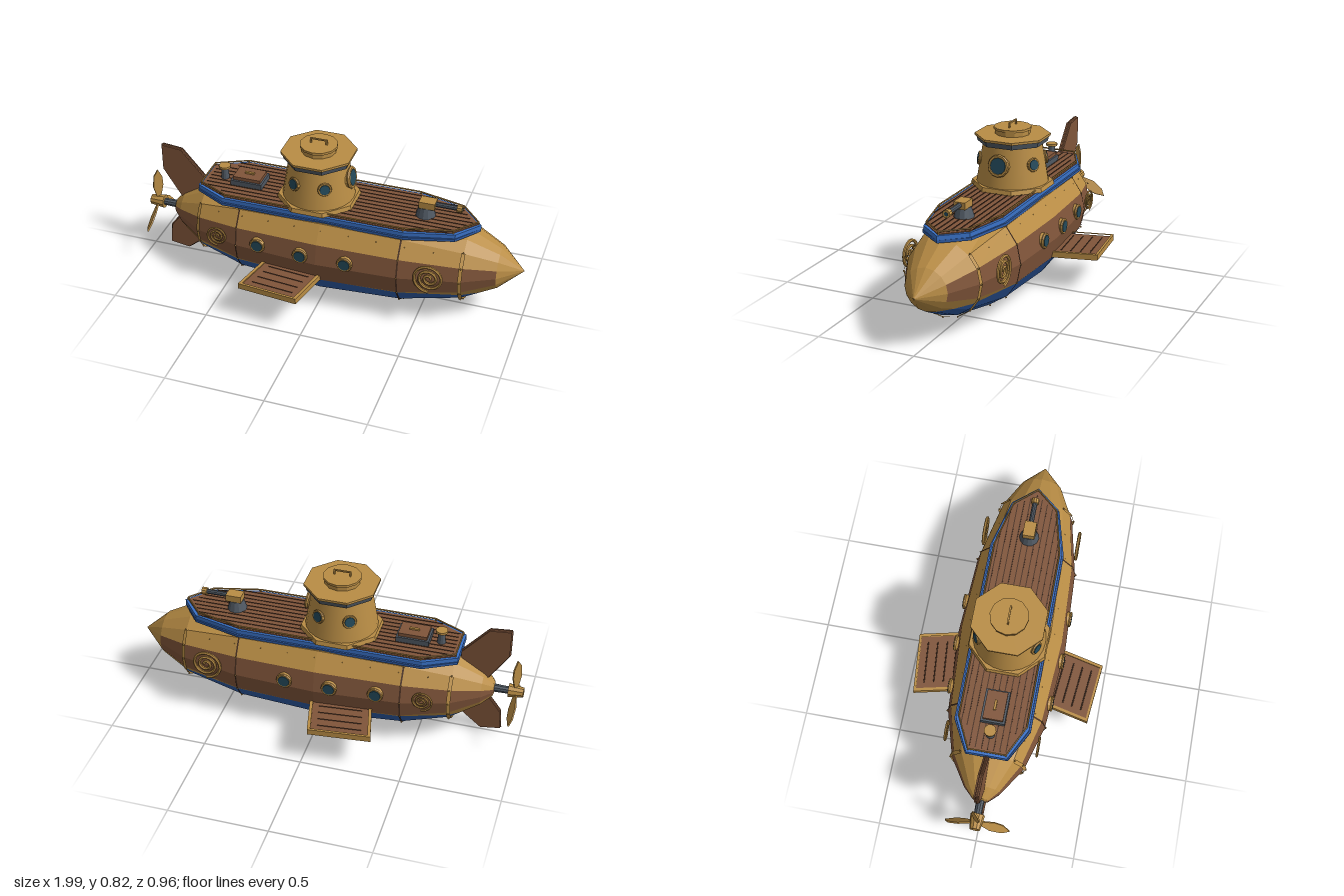
import * as THREE from 'three';

const mat = (color, double) => new THREE.MeshStandardMaterial({ color, flatShading: true, side: double ? THREE.DoubleSide : THREE.FrontSide });
const GOLD = mat(0xb98d45), BROWN = mat(0x80553a), BLUE = mat(0x2f5ca6), TRIM = mat(0x3a72c8);
const GREY = mat(0x4f5862), GLASS = mat(0x23495a), DARK = mat(0x4a3122), GOLD2 = mat(0xb98d45, true), DARK2 = mat(0x4a3122, true);

// hull stations: x, radius
const HULL = [[-0.86, 0], [-0.85, 0.04], [-0.8, 0.09], [-0.66, 0.178], [-0.43, 0.242], [0, 0.272], [0.41, 0.252], [0.71, 0.188], [0.87, 0.108], [0.99, 0]];
const CY = 0.272, WATER = 0.17, TOP = 0.468;

function radiusAt(x) {
  const i = Math.max(1, HULL.findIndex((s) => s[0] >= x));
  const [a, b] = [HULL[i - 1], HULL[i]];
  return a[1] + (b[1] - a[1]) * (x - a[0]) / (b[0] - a[0]);
}
function hullPoint(x, r, angle) {
  return new THREE.Vector3(x, Math.min(TOP, CY - r * Math.cos(angle)), r * 1.02 * Math.sin(angle));
}
function mesh(parent, name, geo, material, x = 0, y = 0, z = 0) {
  const m = new THREE.Mesh(geo, material);
  m.name = name;
  m.position.set(x, y, z);
  parent.add(m);
  return m;
}
const box = (w, h, d) => new THREE.BoxGeometry(w, h, d);
const cyl = (a, b, h, n = 12) => new THREE.CylinderGeometry(a, b, h, n);

// straight rod between two points
function rod(parent, name, a, b, r, material) {
  const d = b.clone().sub(a);
  const m = mesh(parent, name, cyl(r, r, d.length(), 6), material);
  m.position.copy(a).addScaledVector(d, 0.5);
  m.quaternion.setFromUnitVectors(new THREE.Vector3(0, 1, 0), d.normalize());
}
const shapeOf = (pts) => new THREE.Shape(pts.map((p) => new THREE.Vector2(p[0], p[1])));
const scaled = (pts, s) => {
  const c = [0, 1].map((k) => pts.reduce((t, p) => t + p[k], 0) / pts.length);
  return pts.map((p) => [c[0] + (p[0] - c[0]) * s, c[1] + (p[1] - c[1]) * s]);
};
// horizontal plate from x, z points, optionally with a hole
function plate(parent, name, pts, y, h, material, hole) {
  const flip = (q) => q.map((p) => [p[0], -p[1]]);
  const s = shapeOf(flip(pts));
  if (hole) s.holes.push(shapeOf(flip(hole)));
  const g = new THREE.ExtrudeGeometry(s, { depth: h, bevelEnabled: false }).rotateX(-Math.PI / 2);
  return mesh(parent, name, g, material, 0, y, 0);
}

// part of a polygon above (sign 1) or below (sign -1) the waterline
function clip(poly, sign) {
  const out = [];
  poly.forEach((a, i) => {
    const b = poly[(i + 1) % poly.length];
    const da = (a.y - WATER) * sign, db = (b.y - WATER) * sign;
    if (da >= 0) out.push(a);
    if (da * db < 0) out.push(a.clone().lerp(b, da / (da - db)));
  });
  return out;
}
function buildHull(root) {
  const parts = { lower: [], sides: [], upper: [] };
  const add = (list, poly) => {
    for (let i = 1; i + 1 < poly.length; i++) [poly[0], poly[i], poly[i + 1]].forEach((p) => list.push(p));
  };
  const step = Math.PI / 8;
  for (let i = 0; i + 1 < HULL.length; i++) for (let k = 0; k < 16; k++) {
    const [a, b] = [HULL[i], HULL[i + 1]];
    const quad = [hullPoint(...a, k * step), hullPoint(...b, k * step), hullPoint(...b, (k + 1) * step), hullPoint(...a, (k + 1) * step)];
    const side = [3, 4, 11, 12].includes(k) && a[0] < 0.87;
    add(parts.lower, clip(quad, -1));
    add(side ? parts.sides : parts.upper, clip(quad, 1));
  }
  for (const [key, name, m] of [['lower', 'lowerHull', BLUE], ['sides', 'hullSides', BROWN], ['upper', 'upperHull', GOLD]]) {
    const g = new THREE.BufferGeometry().setFromPoints(parts[key]);
    g.computeVertexNormals();
    mesh(root, name, g, m);
  }
  // hoops and seams around the hull, with rivets
  for (const [x, w, off, m] of [[-0.66, 0.018, 0.009, GOLD2], [0.71, 0.018, 0.009, GOLD2], [-0.43, 0.008, 0.004, DARK2], [0.41, 0.008, 0.004, DARK2]]) {
    const g = new THREE.CylinderGeometry(radiusAt(x - w / 2) + off, radiusAt(x + w / 2) + off, w, 12, 1, true, Math.PI * 0.75, Math.PI * 1.5);
    mesh(root, 'hullHoop', g.rotateZ(Math.PI / 2).scale(1, 1, 1.02), m, x, CY, 0);
    for (let k = -6; k <= 6; k++) {
      const p = hullPoint(x, radiusAt(x) + off, k * step);
      mesh(root, 'rivet', new THREE.IcosahedronGeometry(0.005), GOLD, p.x, p.y, p.z);
    }
  }
  for (let i = 0; i < 9; i++) for (const s of [-1, 1]) {
    const x = -0.55 + i * 0.14, p = hullPoint(x, radiusAt(x) * 0.97, 2.23 * s);
    mesh(root, 'rivet', new THREE.IcosahedronGeometry(0.005), GOLD, p.x, p.y, p.z);
  }
}

// round window facing +z of its group
function porthole(parent, x, y, z, r, yaw, tilt = 0) {
  const g = new THREE.Group();
  g.name = 'porthole';
  g.position.set(x, y, z);
  g.rotation.set(-tilt, yaw, 0, 'YXZ');
  mesh(g, 'portholeFrame', cyl(r * 1.05, r * 1.2, 0.03).rotateX(Math.PI / 2), GOLD, 0, 0, -0.012);
  mesh(g, 'portholeRing', new THREE.TorusGeometry(r, r * 0.2, 6, 12), GOLD);
  mesh(g, 'portholeGlass', cyl(r * 0.85, r * 0.85, 0.008).rotateX(Math.PI / 2), GLASS, 0, 0, 0.004);
  parent.add(g);
}
function spiral(parent, x, y, z, r) {
  const pts = [];
  for (let i = 0; i <= 40; i++) {
    const t = i / 40, a = t * Math.PI * 5.5, q = r * (0.12 + 0.88 * t);
    pts.push(new THREE.Vector3(q * Math.cos(a), q * Math.sin(a), 0));
  }
  mesh(parent, 'spiralOrnament', new THREE.TubeGeometry(new THREE.CatmullRomCurve3(pts), 80, r * 0.1, 6), GOLD, x, y, z);
}

function buildDeck(root) {
  const half = [[-0.68, 0.1], [-0.52, 0.18], [0.42, 0.18], [0.66, 0.12]];
  const outline = [...half, [0.76, 0], ...half.map((p) => [p[0], -p[1]]).reverse()];
  const inner = outline.map((p) => [p[0] * 0.98, p[1] * 0.93]);
  plate(root, 'deckTrim', outline.map((p) => [p[0], p[1] * 1.05]), 0.458, 0.014, BLUE);
  plate(root, 'deckRim', outline, 0.472, 0.022, TRIM);
  plate(root, 'deckFloor', inner, 0.494, 0.004, BROWN);
  for (let i = -5; i <= 5; i++) {
    const z = Math.abs(i * 0.03), end = z <= 0.12 ? 0.72 - 0.75 * z : 0.5, start = z < 0.1 ? -0.65 : -0.55;
    mesh(root, 'plankGroove', box(end - start, 0.003, 0.005), DARK, (end + start) / 2, 0.499, i * 0.03);
  }
  // low guard rail
  inner.forEach((p, i) => {
    const q = inner[(i + 1) % inner.length];
    const a = new THREE.Vector3(p[0], 0.51, p[1]);
    rod(root, 'deckRail', a, new THREE.Vector3(q[0], 0.51, q[1]), 0.004, GOLD);
    mesh(root, 'railPost', cyl(0.004, 0.004, 0.02, 6), GOLD, p[0], 0.5, p[1]);
  });
  // cargo hatch and mooring bollard
  mesh(root, 'hatchBase', box(0.165, 0.03, 0.12), GREY, -0.44, 0.513, 0);
  mesh(root, 'hatchLid', box(0.145, 0.018, 0.1), BROWN, -0.44, 0.537, 0);
  mesh(root, 'hatchHandle', box(0.05, 0.01, 0.012), GOLD, -0.44, 0.55, 0);
  mesh(root, 'bollardPost', cyl(0.016, 0.022, 0.065), GREY, -0.575, 0.53, 0);
  mesh(root, 'bollardCap', cyl(0.03, 0.03, 0.012), GOLD, -0.575, 0.565, 0);
  // deck gun
  mesh(root, 'gunBase', cyl(0.035, 0.05, 0.05), GREY, 0.48, 0.523, 0);
  mesh(root, 'gunHousing', box(0.08, 0.035, 0.06), GOLD, 0.49, 0.565, 0);
  mesh(root, 'gunBarrel', cyl(0.013, 0.013, 0.13, 10).rotateZ(Math.PI / 2), GREY, 0.585, 0.567, 0);
  mesh(root, 'gunMuzzle', cyl(0.02, 0.02, 0.026, 10).rotateZ(Math.PI / 2), GOLD, 0.65, 0.567, 0);
  mesh(root, 'gunBore', cyl(0.01, 0.01, 0.004, 10).rotateZ(Math.PI / 2), GLASS, 0.662, 0.567, 0);
}

function buildTower(root) {
  const g = new THREE.Group();
  g.name = 'tower';
  g.position.x = -0.07;
  root.add(g);
  const octagon = (a, b, h) => cyl(a / Math.cos(Math.PI / 8), b / Math.cos(Math.PI / 8), h, 8).rotateY(Math.PI / 8);
  mesh(g, 'towerBase', octagon(0.188, 0.194, 0.022), GOLD, 0, 0.509, 0);
  const body = mesh(g, 'towerBody', cyl(0.147, 0.182, 0.21, 24), GOLD.clone(), 0, 0.622, 0);
  body.material.flatShading = false;
  mesh(g, 'towerBand', octagon(0.168, 0.162, 0.028), GREY, 0, 0.736, 0);
  mesh(g, 'towerCap', octagon(0.175, 0.175, 0.012), GOLD, 0, 0.755, 0);
  mesh(g, 'towerHatch', cyl(0.088, 0.088, 0.025), GOLD, 0, 0.772, 0);
  mesh(g, 'towerHatchLid', cyl(0.095, 0.095, 0.012), GOLD, 0, 0.791, 0);
  mesh(g, 'hatchGrip', box(0.088, 0.007, 0.008), GOLD, 0, 0.82, 0);
  for (const s of [-1, 1]) mesh(g, 'hatchGripLeg', box(0.008, 0.028, 0.008), GOLD, s * 0.04, 0.808, 0);
  // windows: one large ahead, two on each side
  porthole(g, 0.169, 0.635, 0, 0.048, Math.PI / 2, 0.17);
  for (const sx of [-1, 1]) for (const sz of [-1, 1]) {
    const yaw = Math.atan2(sx * 0.47, sz * 0.88);
    porthole(g, sx * 0.079, 0.635, sz * 0.148, 0.03, yaw, 0.17);
  }
}

function buildFins(root) {
  for (const s of [-1, 1]) {
    // side planes: gold tray with a slatted panel
    const pts = [[-0.34, 0.45], [-0.03, 0.48], [0.025, 0.24], [-0.285, 0.21]].map((p) => [p[0], p[1] * s]);
    plate(root, 'sidePlane', pts, 0.17, 0.018, GOLD);
    plate(root, 'sidePlaneFrame', pts, 0.188, 0.012, GOLD, scaled(pts, 0.9));
    plate(root, 'sidePlanePanel', scaled(pts, 0.9), 0.188, 0.006, BROWN);
    for (let i = 1; i <= 4; i++) {
      const t = i / 5, e = (a, b) => new THREE.Vector3(a[0] + (b[0] - a[0]) * t, 0.194, a[1] + (b[1] - a[1]) * t);
      const a = e(pts[0], pts[3]), b = e(pts[1], pts[2]);
      rod(root, 'sidePlaneSlat', a.clone().lerp(b, 0.15), a.clone().lerp(b, 0.85), 0.003, DARK);
    }
  }
  // tail fins
  const fin = (name, pts) => {
    const g = new THREE.ExtrudeGeometry(shapeOf(pts), { depth: 0.026, bevelEnabled: false });
    mesh(root, name, g, BROWN, 0, 0, -0.013);
    pts.forEach((p, i) => {
      const q = pts[(i + 1) % pts.length];
      rod(root, name + 'Edge', new THREE.Vector3(p[0], p[1], 0), new THREE.Vector3(q[0], q[1], 0), 0.006, BROWN);
    });
  };
  fin('upperTailFin', [[-0.915, 0.63], [-0.81, 0.62], [-0.68, 0.47], [-0.68, 0.4], [-0.82, 0.34], [-0.915, 0.49]]);
  fin('lowerTailFin', [[-0.9, 0.035], [-0.8, 0.02], [-0.68, 0.12], [-0.72, 0.2], [-0.83, 0.22], [-0.89, 0.14]]);
}

function buildPropeller(root) {
  const g = new THREE.Group();
  g.name = 'propeller';
  g.position.set(-0.96, 0.275, 0);
  root.add(g);
  mesh(g, 'propellerShaft', cyl(0.018, 0.022, 0.14, 10).rotateZ(Math.PI / 2), GREY, 0.07, 0, 0);
  mesh(g, 'propellerHub', cyl(0.026, 0.036, 0.075, 10).rotateZ(Math.PI / 2), GOLD, -0.002, 0, 0);
  const blade = shapeOf([[-0.01, 0.02], [0.01, 0.02], [0.028, 0.09], [0.026, 0.14], [0.004, 0.188], [-0.02, 0.155], [-0.028, 0.09]]);
  for (let i = 0; i < 3; i++) {
    const geo = new THREE.ExtrudeGeometry(blade, { depth: 0.008, bevelEnabled: false }).translate(0, 0, -0.004);
    mesh(g, 'propellerBlade', geo.rotateY(0.9).rotateX(i * Math.PI * 2 / 3), GOLD);
  }
}

export function createModel() {
  const root = new THREE.Group();
  root.name = 'submarine';
  buildHull(root);
  for (const s of [-1, 1]) {
    for (const x of [-0.31, -0.08, 0.15]) porthole(root, x, 0.305, s * (radiusAt(x) + 0.01), 0.034, s > 0 ? 0 : Math.PI);
    spiral(root, 0.57, 0.298, s * 0.245, 0.08);
    spiral(root, -0.535, 0.295, s * 0.232, 0.056);
  }
  buildDeck(root);
  buildTower(root);
  buildFins(root);
  buildPropeller(root);
  return root;
}
